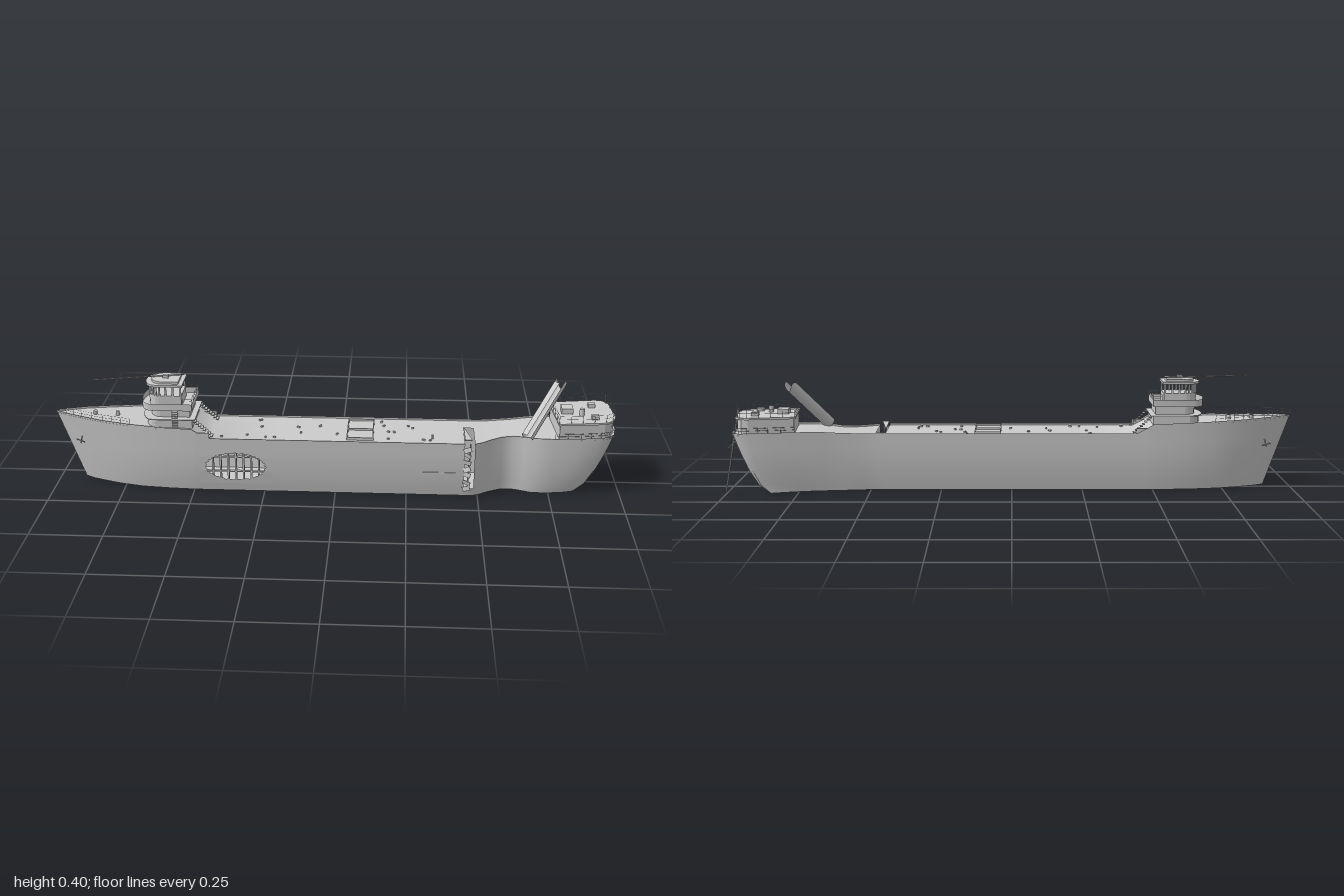
import * as THREE from 'three';
import { toCreasedNormals } from 'three/addons/utils/BufferGeometryUtils.js';

const mat = new THREE.MeshStandardMaterial({ color: 0xcccccc });
const sheet = new THREE.MeshStandardMaterial({ color: 0xcccccc, side: THREE.DoubleSide });

// Hull stations: x at rail, x at keel, rail height, back z, front z
const stations = [
  [-1, -0.91, 0.255, 0.039, 0.041], [-0.96, -0.88, 0.254, 0.017, 0.063], [-0.9, -0.83, 0.252, -0.006, 0.086],
  [-0.82, -0.77, 0.248, -0.03, 0.11], [-0.72, -0.69, 0.245, -0.052, 0.132], [-0.6, -0.59, 0.24, -0.064, 0.144],
  [-0.5, -0.5, 0.238, -0.07, 0.15], [-0.48, -0.48, 0.225, -0.07, 0.15], [-0.44, -0.44, 0.205, -0.07, 0.15],
  [-0.22, -0.22, 0.205, -0.07, 0.15], [0.1, 0.1, 0.205, -0.07, 0.15], [0.45, 0.45, 0.205, -0.07, 0.15],
  [0.485, 0.485, 0.205, -0.07, 0.148], [0.51, 0.51, 0.205, -0.071, 0.135], [0.54, 0.54, 0.206, -0.073, 0.112],
  [0.58, 0.58, 0.208, -0.077, 0.09], [0.62, 0.62, 0.21, -0.081, 0.085], [0.66, 0.655, 0.213, -0.087, 0.098],
  [0.7, 0.69, 0.215, -0.093, 0.113], [0.76, 0.74, 0.215, -0.102, 0.116], [0.85, 0.8, 0.215, -0.117, 0.108],
  [0.92, 0.835, 0.215, -0.128, 0.098], [0.95, 0.845, 0.215, -0.13, 0.088], [0.97, 0.85, 0.215, -0.122, 0.065],
  [0.98, 0.853, 0.215, -0.1, 0.025],
];
const levels = [0, 0.03, 0.08, 0.135, 0.165, 0.19, 1];
const flare = [0.86, 0.91, 0.97, 1, 1, 1, 1];
const GASH = 11;

function flareAt(y) {
  let j = 0;
  while (j < 4 && y > levels[j + 1]) j++;
  return THREE.MathUtils.lerp(flare[j], flare[j + 1], Math.min(1, (y - levels[j]) / (levels[j + 1] - levels[j])));
}

function hullPoint(i, j, front) {
  const [xt, xb, h, zb, zf] = stations[i];
  const y = Math.min(levels[j], h), c = (zb + zf) / 2;
  const x = xb + (xt - xb) * Math.pow(y / h, xt < 0 ? 1 : 0.6);
  return [x, y, c + ((front ? zf : zb) - c) * flare[j]];
}

function surface(build, crease = 0.5) {
  const pos = [];
  build((a, b, c, d) => pos.push(...a, ...b, ...c, ...a, ...c, ...d));
  const g = new THREE.BufferGeometry();
  g.setAttribute('position', new THREE.Float32BufferAttribute(pos, 3));
  return toCreasedNormals(g, crease);
}

export function createModel() {
  const root = new THREE.Group();
  const add = (name, geo, m = mat, parent = root) => {
    const mesh = new THREE.Mesh(geo, m);
    mesh.name = name;
    parent.add(mesh);
    return mesh;
  };
  const group = (name) => { const g = new THREE.Group(); g.name = name; root.add(g); return g; };
  const box = (name, x0, x1, y0, y1, z0, z1, parent) => {
    const m = add(name, new THREE.BoxGeometry(x1 - x0, y1 - y0, z1 - z0), mat, parent);
    m.position.set((x0 + x1) / 2, (y0 + y1) / 2, (z0 + z1) / 2);
    return m;
  };
  const UP = new THREE.Vector3(0, 1, 0);
  const beam = (name, a, b, r, parent, sides = 6) => {
    const p = new THREE.Vector3(...a), d = new THREE.Vector3(...b).sub(p);
    const m = add(name, new THREE.CylinderGeometry(r, r, d.length(), sides), mat, parent);
    m.position.copy(p).addScaledVector(d, 0.5);
    m.quaternion.setFromUnitVectors(UP, d.normalize());
    return m;
  };
  // Plan outline in x, z raised between two heights
  const slab = (name, pts, y0, y1, parent) => {
    const s = new THREE.Shape(pts.map(([x, z]) => new THREE.Vector2(x, -z)));
    const g = new THREE.ExtrudeGeometry(s, { depth: y1 - y0, bevelEnabled: false });
    g.rotateX(-Math.PI / 2).translate(0, y0, 0);
    return add(name, g, mat, parent);
  };
  // Stanchions with two bars along a path
  const railing = (name, pts, h, step = 0.04) => {
    const g = group(name);
    for (let i = 0; i + 1 < pts.length; i++) {
      const a = new THREE.Vector3(...pts[i]), b = new THREE.Vector3(...pts[i + 1]);
      const n = Math.max(1, Math.round(a.distanceTo(b) / step));
      for (let k = 0; k <= n; k++) {
        const p = a.clone().lerp(b, k / n);
        beam('stanchion', p.toArray(), [p.x, p.y + h, p.z], 0.0008, g, 4);
      }
      for (const f of [0.55, 1]) beam('railBar', [a.x, a.y + h * f, a.z], [b.x, b.y + h * f, b.z], 0.0006, g, 4);
    }
  };

  // Hull sides, with a torn gap at the gash and a window for the holed plate
  const N = stations.length - 1, L = levels.length - 1;
  add('hullPlating', surface((quad) => {
    for (let i = 0; i < N; i++) for (let j = 0; j < L; j++) {
      const p = (di, dj, f) => hullPoint(i + di, j + dj, f);
      quad(p(0, 0, false), p(0, 1, false), p(1, 1, false), p(1, 0, false));
      const window = (i === 7 || i === 8) && j >= 1 && j <= 3;
      if (!window && !(i === GASH && j >= 1)) quad(p(0, 0, true), p(1, 0, true), p(1, 1, true), p(0, 1, true));
    }
    for (let j = 0; j < L; j++)
      quad(hullPoint(N, j, true), hullPoint(N, j, false), hullPoint(N, j + 1, false), hullPoint(N, j + 1, true));
  }, 0.6), sheet);

  // Bottom and decks, the deck split lengthwise so the gash can cut half of it
  add('hullBottom', surface((quad) => {
    for (let i = 0; i < N; i++)
      quad(hullPoint(i, 0, false), hullPoint(i + 1, 0, false), hullPoint(i + 1, 0, true), hullPoint(i, 0, true));
  }), sheet);
  add('deck', surface((quad) => {
    const d = (i, t) => {
      const [x, , h, zb, zf] = stations[i];
      return [x, h - 0.007, zb + (zf - zb) * t];
    };
    for (let i = 0; i < N; i++) for (const [a, b] of [[0, 0.3], [0.3, 1]])
      if (i !== GASH || a === 0) quad(d(i, a), d(i, b), d(i + 1, b), d(i + 1, a));
  }), sheet);

  // Side plate with an oval hole, ribs showing inside
  const cx = -0.35, cy = 0.0975, hw = 0.13, hh = 0.0675;
  add('holedPlate', surface((quad) => {
    const at = (k, t) => {
      const s = k % 64, e = Math.floor(s / 16), q = (s % 16) / 8 - 1;
      const [u, v] = [[q, -1], [1, q], [-q, 1], [-1, -q]][e];
      const l = Math.hypot(u, v), rag = 1 + 0.05 * Math.sin(s * 2.7);
      const x = cx + THREE.MathUtils.lerp(u / l * 0.104 * rag, u * hw, t);
      const y = cy + THREE.MathUtils.lerp(v / l * 0.052 * rag, v * hh, t);
      return [x, y, 0.04 + 0.11 * flareAt(y)];
    };
    for (let k = 0; k < 64; k++) for (let t = 0; t < 4; t++)
      quad(at(k, t / 4), at(k + 1, t / 4), at(k + 1, (t + 1) / 4), at(k, (t + 1) / 4));
  }), sheet);
  const ribs = group('exposedRibs');
  for (let i = -3; i <= 3; i++) box('rib', cx + i * 0.027 - 0.003, cx + i * 0.027 + 0.003, 0.03, 0.165, 0.127, 0.139, ribs);
  for (const y of [0.075, 0.13]) box('stringer', cx - 0.11, cx + 0.11, y - 0.002, y + 0.002, 0.128, 0.138, ribs);

  // Torn strips and bent frames beside the gash
  const torn = group('tornPlates');
  for (let i = 0; i < 7; i++) {
    const y = 0.035 + i * 0.025, out = 0.153 + 0.008 * Math.sin(i * 2.3);
    const m = box('tornStrip', 0.445, 0.473, y - 0.008, y + 0.009, out - 0.0015, out + 0.0015, torn);
    m.rotation.set(0.3 * Math.sin(i * 1.7), -0.4 - 0.2 * Math.sin(i * 3), 0.4 * Math.cos(i * 2));
  }
  beam('bentFrame', [0.463, 0.02, 0.135], [0.47, 0.2, 0.14], 0.003, torn);
  slab('raisedDeckFlap', [[0.45, 0.15], [0.475, 0.15], [0.45, 0.02]], 0.202, 0.207, torn).rotation.x = -0.06;
  box('sideSlot', 0.3, 0.42, 0.09, 0.094, 0.143, 0.1505);

  // Hull plating peeled up into a curl
  const curlA = new THREE.Vector3(0.665, 0.215, 0.105), curlB = new THREE.Vector3(0.783, 0.37, -0.022);
  const curlDir = curlB.clone().sub(curlA), len = curlDir.length();
  const curlGeo = new THREE.CylinderGeometry(0.021, 0.021, len, 28, 6, true, 0.4, 5.6);
  const cp = curlGeo.attributes.position;
  for (let i = 0; i < cp.count; i++) {
    const a = Math.atan2(cp.getX(i), cp.getZ(i)), f = cp.getY(i) / len + 0.5;
    cp.setY(i, cp.getY(i) + 0.01 * f * Math.sin(a * 2));
  }
  curlGeo.computeVertexNormals();
  const curl = add('peeledPlate', curlGeo, sheet);
  curl.position.copy(curlA).addScaledVector(curlDir, 0.5);
  curl.quaternion.setFromUnitVectors(UP, curlDir.normalize());

  // Main deck hatch with two bays
  const hatch = group('cargoHatch');
  for (const z of [-0.045, 0.04, 0.12]) box('coaming', 0.04, 0.13, 0.196, 0.208, z - 0.002, z + 0.002, hatch);
  for (const x of [0.04, 0.13]) box('coaming', x - 0.002, x + 0.002, 0.196, 0.208, -0.047, 0.122, hatch);
  box('hatchCover', 0.04, 0.13, 0.196, 0.201, -0.045, 0.12, hatch);

  // Small fittings scattered along the deck
  const debris = group('deckFittings');
  let seed = 7;
  const rnd = () => (seed = (seed * 16807) % 2147483647) / 2147483647;
  for (let i = 0; i < 26; i++) {
    const x = -0.4 + 0.8 * rnd(), z = -0.05 + 0.18 * rnd(), s = 0.003 + 0.003 * rnd();
    if (x > 0.02 && x < 0.15) continue;
    box('fitting', x - s, x + s, 0.197, 0.203, z - 0.003, z + 0.003, debris).rotation.y = rnd() * 3;
  }

  // Forward bridge, stacked in tiers with a rounded front
  const bridge = group('bridge');
  const tier = (x0, x1, hz) => {
    const p = [[x1, -hz], [x1, hz]];
    for (let i = 0; i <= 10; i++) {
      const a = Math.PI * i / 10;
      p.push([x0 + 0.04 - 0.04 * Math.sin(a), 0.041 + hz * Math.cos(a)]);
    }
    p[0][1] += 0.041; p[1][1] += 0.041;
    return p;
  };
  slab('lowerHouse', tier(-0.67, -0.5, 0.085), 0.2, 0.262, bridge);
  slab('lowerDeck', tier(-0.68, -0.49, 0.09), 0.262, 0.265, bridge);
  slab('middleHouse', tier(-0.655, -0.51, 0.065), 0.265, 0.295, bridge);
  slab('bridgeDeck', tier(-0.685, -0.5, 0.083), 0.295, 0.299, bridge);
  const wall = tier(-0.685, -0.5, 0.083);
  add('bridgeBulwark', surface((quad) => wall.forEach(([x, z], i) => {
    const [u, w] = wall[(i + 1) % wall.length];
    quad([x, 0.297, z], [u, 0.297, w], [u, 0.32, w], [x, 0.32, z]);
  })), sheet, bridge);
  slab('wheelhouseBase', tier(-0.66, -0.54, 0.052), 0.299, 0.338, bridge);
  for (const [x, z] of tier(-0.657, -0.543, 0.049)) box('windowPost', x - 0.003, x + 0.003, 0.337, 0.373, z - 0.003, z + 0.003, bridge);
  for (const z of [-0.008, 0.09]) for (const x of [-0.595, -0.57]) box('windowPost', x - 0.003, x + 0.003, 0.337, 0.373, z - 0.003, z + 0.003, bridge);
  slab('wheelhouseRoof', tier(-0.67, -0.535, 0.058), 0.372, 0.38, bridge);
  slab('roofCoaming', tier(-0.65, -0.55, 0.045), 0.38, 0.388, bridge);
  box('roofFitting', -0.61, -0.59, 0.386, 0.398, 0.033, 0.05, bridge);
  beam('fallenMast', [-0.85, 0.391, 0.088], [-0.54, 0.392, 0.02], 0.0022, bridge);
  for (const z of [-0.06, 0.142]) box('wingBulkhead', -0.5, -0.44, 0.197, 0.222, z - 0.004, z + 0.004, bridge);
  for (const z of [-0.035, 0.12]) for (let i = 0; i < 8; i++)
    box('stairTread', -0.495 + i * 0.008, -0.486 + i * 0.008, 0.255 - i * 0.0075, 0.258 - i * 0.0075, z - 0.012, z + 0.012, bridge);
  for (let i = 0; i < 9; i++) box('sideLadderRung', -0.57, -0.55, 0.235 + i * 0.007, 0.237 + i * 0.007, 0.118, 0.132, bridge);
  railing('bridgeRail', [[-0.53, 0.32, -0.04], [-0.5, 0.32, -0.04], [-0.5, 0.32, 0.122], [-0.53, 0.32, 0.122]], 0.02);

  // Bow rails, capstans and anchors
  for (const k of [3, 4]) railing('bowRail', stations.slice(0, 5).map((s) => [s[0], s[2] - 0.003, s[k]]), 0.024);
  for (const x of [-0.86, -0.78]) beam('capstan', [x, 0.24, 0.04], [x, 0.256, 0.04], 0.007, root, 12);
  for (const s of [-1, 1]) {
    const z = 0.04 + s * 0.035;
    beam('anchorShank', [-0.913, 0.145, z], [-0.905, 0.172, z + s * 0.003], 0.002);
    beam('anchorArms', [-0.927, 0.155, z - s * 0.006], [-0.897, 0.15, z + s * 0.006], 0.002);
  }

  // Stern house, its overhanging deck and fittings
  const stern = group('sternHouse');
  const plan = [[0.76, -0.092], [0.92, -0.117], [0.945, -0.112], [0.962, -0.09], [0.972, 0.03], [0.96, 0.065], [0.935, 0.085], [0.775, 0.104]];
  const grow = (f) => plan.map(([x, z]) => [0.86 + (x - 0.86) * f, -0.005 + (z + 0.005) * f]);
  slab('houseWalls', grow(0.98), 0.2, 0.261, stern);
  slab('houseDeck', grow(1.04), 0.261, 0.268, stern);
  box('deckLocker', 0.79, 0.83, 0.268, 0.287, -0.03, 0.015, stern);
  beam('ventilator', [0.86, 0.268, 0.02], [0.86, 0.292, 0.02], 0.009, stern, 12);
  for (const z of [-0.06, 0.05]) box('winch', 0.89, 0.915, 0.268, 0.28, z - 0.012, z + 0.012, stern);
  const ring = grow(1.02).map(([x, z]) => [x, 0.268, z]);
  railing('sternRail', [...ring, ring[0]], 0.028);
  for (const k of [3, 4]) railing('lowerSternRail', stations.slice(19).map((s) => [s[0], 0.213, s[k]]), 0.02);

  // Mast fallen over the stern quarter with a crosstree and loose stay
  const mast = group('fallenSternMast');
  beam('mastPole', [0.955, 0.3, -0.087], [0.99, 0.02, -0.165], 0.0028, mast, 8);
  beam('crosstree', [0.95, 0.17, -0.088], [0.985, 0.19, -0.145], 0.0018, mast);
  beam('crosstree', [0.985, 0.165, -0.135], [0.955, 0.195, -0.1], 0.0018, mast);
  const stay = new THREE.CatmullRomCurve3([[0.96, 0.27, -0.09], [0.985, 0.1, -0.125], [0.985, 0.008, -0.138], [0.99, 0.04, -0.16]].map((p) => new THREE.Vector3(...p)));
  add('looseStay', new THREE.TubeGeometry(stay, 24, 0.0007, 4), mat, mast);
  return root;
}
